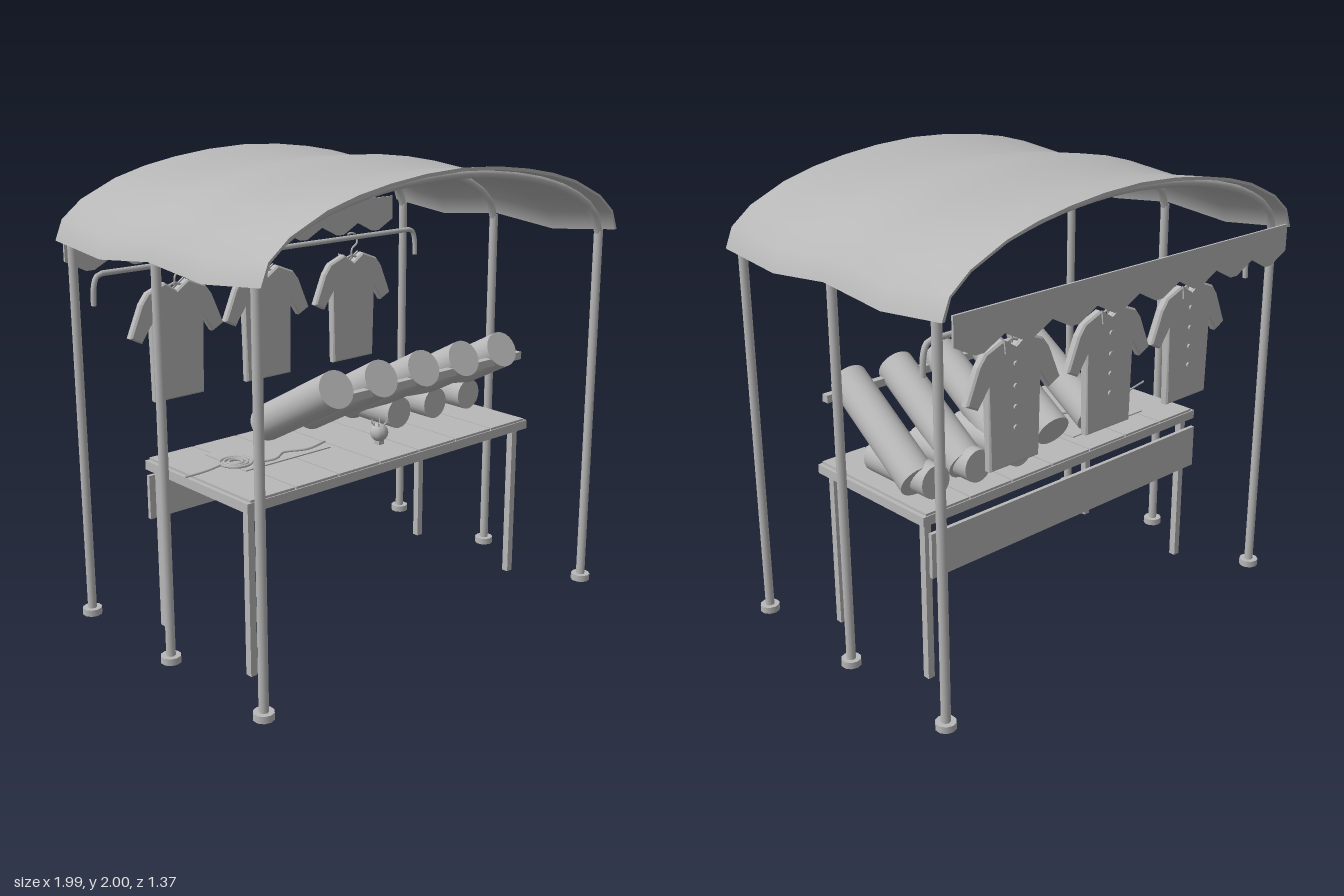
import * as THREE from 'three';

const V = (x, y, z) => new THREE.Vector3(x, y, z);

export function createModel() {
  const root = new THREE.Group();
  const grey = new THREE.MeshStandardMaterial({ color: 0xb8b8b8 });
  grey.name = 'plain grey';

  const add = (name, geo, x = 0, y = 0, z = 0, parent = root) => {
    const m = new THREE.Mesh(geo, grey);
    m.name = name;
    m.position.set(x, y, z);
    parent.add(m);
    return m;
  };
  const box = (name, w, h, d, x, y, z, parent) => add(name, new THREE.BoxGeometry(w, h, d), x, y, z, parent);
  // cylinder between two points
  const rod = (name, a, b, r, sides = 10, parent = root) => {
    const m = add(name, new THREE.CylinderGeometry(r, r, a.distanceTo(b), sides), 0, 0, 0, parent);
    m.position.copy(a).add(b).multiplyScalar(0.5);
    m.quaternion.setFromUnitVectors(V(0, 1, 0), b.clone().sub(a).normalize());
    return m;
  };
  const tube = (name, pts, r, segs, sides = 8, parent = root) =>
    add(name, new THREE.TubeGeometry(new THREE.CatmullRomCurve3(pts), segs, r, sides), 0, 0, 0, parent);
  // flat outline with thickness, centred on z = 0
  const plate = (pts, depth, bevel = 0) => {
    const g = new THREE.ExtrudeGeometry(new THREE.Shape(pts.map(p => new THREE.Vector2(p[0], p[1]))), {
      depth: depth - 2 * bevel, bevelEnabled: bevel > 0, bevelSize: bevel, bevelThickness: bevel, bevelOffset: -bevel, bevelSegments: 1,
    });
    return g.translate(0, 0, -(depth - 2 * bevel) / 2);
  };

  // Canopy: thin slab bent to an arch, sagging between the ribs
  const half = [[0, 2], [0.2, 1.991], [0.38, 1.97], [0.54, 1.941], [0.69, 1.9], [0.86, 1.825], [0.955, 1.75], [0.99, 1.665]];
  const sag = z => 0.035 * (1 - Math.abs(Math.abs(z) - 0.34) / 0.34);
  const cloth = new THREE.BoxGeometry(14, 0.014, 1.36, 14, 1, 8);
  const cp = cloth.attributes.position;
  for (let i = 0; i < cp.count; i++) {
    const x = cp.getX(i), z = cp.getZ(i), k = Math.round(Math.abs(x));
    const under = cp.getY(i) < 0 ? 0.014 : 0;
    const [px, py] = half[k];
    const side = Math.sign(x) * (k / 7) ** 3;
    cp.setXYZ(i, Math.sign(x) * px - side * under, py - sag(z) - under * (1 - Math.abs(side)), z);
  }
  cloth.computeVertexNormals();
  add('canopy', cloth);

  // Frame: three arched ribs on six posts with round feet
  const ribHalf = [[0.955, 1.64], [0.928, 1.722], [0.85, 1.79], [0.68, 1.867], [0.38, 1.937]];
  for (const z of [-0.61, 0, 0.61]) {
    const pts = [...ribHalf.map(([x, y]) => V(-x, y, z)), V(0, 1.966, z), ...ribHalf.slice().reverse().map(([x, y]) => V(x, y, z))];
    tube('canopyRib', pts, 0.018, 24);
    for (const s of [-1, 1]) {
      rod('post', V(s * 0.955, 0, z), V(s * 0.955, 1.66, z), 0.02, 8);
      rod('postFoot', V(s * 0.955, 0, z), V(s * 0.955, 0.03, z), 0.043, 10);
    }
  }

  // Valance with a zigzag lower edge
  const edge = [[-0.95, 1.685], [-0.95, 1.57]];
  for (let i = 0; i < 8; i++) {
    const x = -0.95 + i * 0.2375;
    edge.push([x + 0.1, 1.52], [x + 0.14, 1.52], [x + 0.2375, 1.57]);
  }
  edge.push([0.95, 1.685]);
  add('valance', plate(edge.reverse(), 0.01), 0, 0, -0.687);

  // Clothes rail with turned-down ends
  rod('clothesRail', V(-0.89, 1.54, -0.5), V(0.89, 1.54, -0.5), 0.012);
  for (const s of [-1, 1])
    tube('railEnd', [V(s * 0.88, 1.54, -0.5), V(s * 0.912, 1.53, -0.5), V(s * 0.928, 1.49, -0.5), V(s * 0.933, 1.41, -0.5)], 0.012, 10);

  // Shirts on hangers, buttons towards the back
  const sh = [[0.13, 0.945], [0.135, 1.29], [0.185, 1.215], [0.245, 1.245], [0.185, 1.385], [0.15, 1.43], [0.06, 1.465]];
  const shirtOutline = [...sh, [0, 1.425], ...sh.slice().reverse().map(([x, y]) => [-x, y])];
  for (const x of [-0.53, -0.03, 0.5]) {
    const shirt = new THREE.Group();
    shirt.name = 'hangingShirt';
    shirt.position.set(x, 0, -0.5);
    root.add(shirt);
    add('shirtBody', plate(shirtOutline, 0.04, 0.008), 0, 0, 0, shirt);
    for (const s of [-1, 1]) {
      const lapel = [[s * 0.062, 1.468], [s * 0.055, 1.41], [0, 1.39], [0, 1.428]];
      add('collar', plate(s > 0 ? lapel.reverse() : lapel, 0.008), 0, 0, -0.023, shirt);
      rod('hangerArm', V(0, 1.455, 0), V(s * 0.13, 1.41, 0), 0.006, 6, shirt);
    }
    for (const y of [1.36, 1.27, 1.185, 1.1])
      rod('button', V(0, y, -0.018), V(0, y, -0.028), 0.011, 10, shirt);
    tube('hangerHook', [V(0, 1.44, 0), V(0.004, 1.485, 0), V(0.035, 1.51, 0), V(0.034, 1.545, 0), V(0, 1.563, 0), V(-0.028, 1.556, 0)], 0.005, 16, 6, shirt);
  }

  // Table: rim, cross planks, legs and back board
  box('tableTop', 1.64, 0.04, 0.7, 0, 0.735, 0.01);
  for (let i = 0; i < 7; i++)
    box('tablePlank', 0.224, 0.012, 0.69, -0.69 + i * 0.23, 0.759, 0.01);
  for (const x of [-0.777, 0.777]) for (const z of [-0.295, 0.31])
    box('tableLeg', 0.032, 0.72, 0.032, x, 0.36, z);
  box('backBoard', 1.6, 0.195, 0.018, -0.005, 0.583, -0.347);

  // Leaning fabric rolls and their front bar
  for (let i = 0; i < 5; i++) {
    const x = -0.33 + i * 0.25;
    rod('leaningRoll', V(x, 1.112, 0.322), V(x + 0.06, 0.838, -0.205), 0.081, 24);
  }
  box('rollBar', 1.13, 0.034, 0.034, 0.235, 1.062, 0.312);

  // Lying fabric rolls
  for (const x of [0.245, 0.475, 0.7])
    rod('lyingRoll', V(x, 0.848, 0.1), V(x, 0.848, -0.275), 0.071, 20);

  // Pincushion with lobes and pins
  const ball = new THREE.SphereGeometry(0.04, 24, 12);
  const bp = ball.attributes.position;
  for (let i = 0; i < bp.count; i++) {
    const k = 0.94 + 0.06 * Math.abs(Math.cos(4 * Math.atan2(bp.getZ(i), bp.getX(i))));
    bp.setXYZ(i, bp.getX(i) * k, bp.getY(i), bp.getZ(i) * k);
  }
  ball.computeVertexNormals();
  add('pincushion', ball, 0.045, 0.818, 0.18);
  box('pincushionBase', 0.03, 0.02, 0.03, 0.045, 0.772, 0.18);
  for (let i = 0; i < 6; i++) {
    const a = i * Math.PI / 3 + 0.3, c = Math.cos(a), s = Math.sin(a);
    rod('pin', V(0.045 + c * 0.015, 0.84, 0.18 + s * 0.015), V(0.045 + c * 0.04, 0.872, 0.18 + s * 0.04), 0.0025, 5);
  }

  // Paper pattern, coiled measuring tape and its loose end
  box('paperPattern', 0.46, 0.005, 0.28, -0.38, 0.7675, -0.06);
  for (const r of [0.03, 0.05, 0.068]) {
    const ring = add('tapeCoil', new THREE.TorusGeometry(r, 0.006, 6, 24), -0.585, 0.776, -0.02);
    ring.rotation.x = Math.PI / 2;
  }
  tube('tapeEnd', [V(-0.87, 0.787, 0.02), V(-0.75, 0.78, 0.0), V(-0.65, 0.776, -0.03)], 0.005, 10, 6);
  tube('looseTape', [V(-0.53, 0.774, 0.03), V(-0.44, 0.777, 0.06), V(-0.35, 0.774, 0.01), V(-0.25, 0.777, 0.05), V(-0.13, 0.776, 0.02)], 0.006, 24, 6);
  return root;
}
